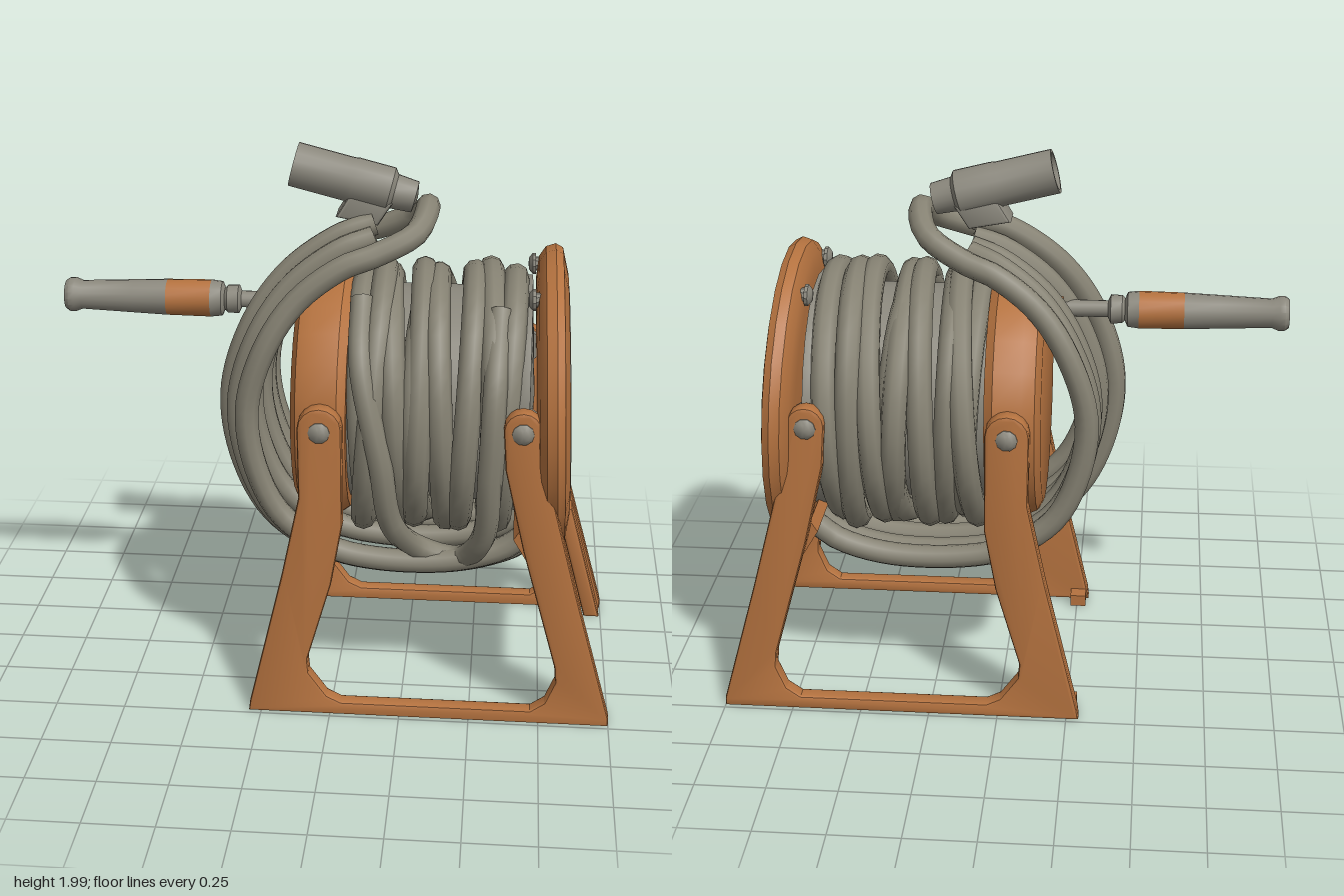
import * as THREE from 'three';
import { toCreasedNormals } from 'three/addons/utils/BufferGeometryUtils.js';

const orange = new THREE.MeshStandardMaterial({ color: 0xb4723f });
orange.name = 'burnt orange';
const grey = new THREE.MeshStandardMaterial({ color: 0x8a877c });
grey.name = 'warm grey';
const hoseGrey = new THREE.MeshStandardMaterial({ color: 0x868273 });
hoseGrey.name = 'hose grey';

const AXLE_Y = 1.08;

function part(parent, name, geometry, material, x = 0, y = 0, z = 0) {
  const mesh = new THREE.Mesh(geometry, material);
  mesh.name = name;
  mesh.position.set(x, y, z);
  parent.add(mesh);
  return mesh;
}

// Turned solid along x; points are [radius, x], ordered by rising x
function turned(points, sides = 24) {
  const g = new THREE.LatheGeometry(points.map(p => new THREE.Vector2(p[0], p[1])), sides);
  g.rotateZ(-Math.PI / 2);
  return toCreasedNormals(g, 0.6);
}

function hose(points, closed = false, radius = 0.043, steps = 64) {
  const curve = new THREE.CatmullRomCurve3(points.map(p => new THREE.Vector3(...p)), closed);
  return new THREE.TubeGeometry(curve, steps, radius, 9, closed);
}

// Outline in x,y pushed along z and centred on z = 0
function slab(points, depth, bevel = 0) {
  const shape = new THREE.Shape(points.map(p => new THREE.Vector2(p[0], p[1])));
  const g = new THREE.ExtrudeGeometry(shape, {
    depth: depth - 2 * bevel, bevelEnabled: bevel > 0, bevelSize: bevel,
    bevelThickness: bevel, bevelOffset: -bevel, bevelSegments: 2,
  });
  g.translate(0, 0, -depth / 2 + bevel);
  return toCreasedNormals(g, 0.6);
}

// Rounded arm top, running from right to left
function arc(cx, cy, r) {
  return Array.from({ length: 9 }, (_, i) => {
    const a = Math.PI * i / 8;
    return [cx + r * Math.cos(a), cy + r * Math.sin(a)];
  });
}

function boltGeometry() {
  return turned([[0, -0.03], [0.025, -0.03], [0.025, 0], [0.038, 0], [0.038, 0.012], [0.022, 0.025], [0, 0.028]], 10);
}

function buildFrame(root) {
  const frame = new THREE.Group();
  frame.name = 'frame';
  root.add(frame);
  const outline = [
    [-0.295, 0], [1.0, 0], [1.0, 0.03], [0.87, 0.5], [0.745, 0.98],
    ...arc(0.66, 1.13, 0.066),
    [0.605, 0.98], [0.675, 0.68], [0.8, 0.23], [0.805, 0.17], [0.77, 0.085], [0.72, 0.05],
    [0.04, 0.05], [-0.01, 0.075], [-0.075, 0.165], [-0.08, 0.22], [0.005, 0.52], [0.045, 0.75],
    ...arc(-0.035, 1.11, 0.077),
    [-0.108, 0.85], [-0.17, 0.55], [-0.29, 0.04],
  ];
  const side = slab(outline, 0.065, 0.012);
  const foot = slab([[0.935, 0], [0.995, 0], [0.87, 0.47], [0.81, 0.47]], 0.12, 0.012);
  const hub = new THREE.CylinderGeometry(0.065, 0.065, 0.035, 16).rotateX(Math.PI / 2);
  for (const s of [1, -1]) {
    part(frame, 'sideFrame', side, orange, 0, 0, 0.457 * s);
    part(frame, 'rightLegFlange', foot, orange, 0, 0, 0.408 * s);
    part(frame, 'footHook', new THREE.BoxGeometry(0.06, 0.045, 0.06), orange, -0.255, 0.0235, 0.395 * s);
    for (const [x, y] of [[-0.035, 1.1], [0.66, 1.12]]) {
      part(frame, 'pivotHub', hub, grey, x, y, 0.412 * s);
      const bolt = part(frame, 'pivotBolt', boltGeometry(), grey, x, y, 0.482 * s);
      bolt.rotation.y = -s * Math.PI / 2;
    }
  }
  // Sloping panel that ties the two right legs together
  const panel = [[0.775, 0.42], [0.835, 0.42], [0.795, 0.54], [0.7, 0.68], [0.665, 0.74], [0.64, 0.7], [0.735, 0.54]];
  part(frame, 'crossPanel', slab(panel, 0.87), orange);
}

function buildReel(root) {
  const reel = new THREE.Group();
  reel.name = 'reel';
  reel.position.y = AXLE_Y;
  root.add(reel);
  part(reel, 'drum', turned([[0, 0.03], [0.39, 0.03], [0.39, 0.64], [0, 0.64]]), grey);
  part(reel, 'innerFlange', turned([[0, 0.63], [0.42, 0.63], [0.43, 0.65], [0.43, 0.68], [0, 0.7]]), grey);
  part(reel, 'leftDisc', turned([[0, -0.145], [0.39, -0.145], [0.43, -0.125], [0.45, -0.08],
    [0.452, 0.02], [0.43, 0.05], [0, 0.055]]), orange);

  // Large disc, slightly tilted, with a grey inlay and bolts behind
  const disc = new THREE.Group();
  disc.name = 'rightDisc';
  disc.position.set(0.768, 0, 0);
  disc.rotation.z = 0.04;
  reel.add(disc);
  part(disc, 'discRim', turned([[0, -0.06], [0.43, -0.06], [0.5, -0.05], [0.535, -0.025], [0.545, 0.01],
    [0.53, 0.036], [0.44, 0.054], [0, 0.054]]), orange);
  part(disc, 'discInlay', turned([[0, 0.052], [0.4, 0.052], [0.398, 0.057], [0, 0.059]]), grey);
  for (const sy of [1, -1]) {
    for (const sz of [1, -1]) {
      const bolt = part(disc, 'discBolt', boltGeometry(), grey, -0.06, 0.43 * sy, 0.21 * sz);
      bolt.rotation.y = Math.PI;
    }
  }
}

function buildCoil(root) {
  const coil = new THREE.Group();
  coil.name = 'woundHose';
  root.add(coil);
  // x, height radius, sideways lean, phase for each turn
  const turns = [
    [0.125, 0.455, 0.035, 0.2], [0.2, 0.44, 0.03, 2.4], [0.285, 0.45, 0.02, 0.9], [0.37, 0.445, 0.025, 2.9],
    [0.455, 0.45, 0.025, 0.4], [0.54, 0.46, 0.02, 1.8], [0.6, 0.445, 0.02, 0], [0.11, 0.42, 0.025, 3.6], [0.33, 0.43, 0.05, 4.6],
  ];
  for (const [x, r, lean, phase] of turns) {
    const pts = [];
    for (let i = 0; i < 16; i++) {
      const a = i / 16 * Math.PI * 2;
      const wave = 0.008 * Math.sin(3 * a + phase * 2);
      pts.push([x + lean * Math.cos(a - phase), 1.068 + (r + wave) * Math.cos(a), (r - 0.03 + wave) * Math.sin(a)]);
    }
    part(coil, 'hoseTurn', hose(pts, true, 0.046, 40), hoseGrey);
  }
  // Slack turn that crosses the front of the coil
  part(coil, 'slackTurn', hose([[0.09, 1.49, 0.2], [0.1, 1.3, 0.38], [0.17, 0.98, 0.44], [0.21, 0.72, 0.38],
    [0.3, 0.58, 0.27], [0.44, 0.54, 0.26], [0.53, 0.66, 0.36], [0.55, 0.95, 0.44], [0.56, 1.25, 0.42], [0.57, 1.47, 0.23]]), hoseGrey);
}

// Half loop over the left disc, down its face and under the drum, drawn inwards by inset
function halfLoop(zTop, z, inset) {
  const path = [[0.12, 1.72], [0.0, 1.68], [-0.18, 1.55], [-0.31, 1.36], [-0.385, 1.1], [-0.35, 0.84],
    [-0.24, 0.63], [-0.05, 0.5], [0.15, 0.455], [0.45, 0.465], [0.65, 0.53], [0.74, 0.6]];
  return path.map(([x, y], i) => {
    const dx = 0.17 - x, dy = AXLE_Y - y, k = inset / Math.hypot(dx, dy);
    return [Math.min(x + dx * k, 0.72), y + dy * k, THREE.MathUtils.lerp(zTop, z, Math.min(i / 3, 1))];
  });
}

function buildLooseHose(root) {
  const loose = new THREE.Group();
  loose.name = 'looseHose';
  root.add(loose);
  // One hose bends round the nozzle tail and loops down on both sides
  const sideLoop = (s, inset) => [[0.27, 1.71, 0.13 * s], ...halfLoop(0.2 * s, 0.275 * s, inset)];
  part(loose, 'outerLoop', hose([...sideLoop(1, 0.075).reverse(), [0.305, 1.77, 0], ...sideLoop(-1, 0.085)],
    false, 0.043, 110), hoseGrey);
  // Remaining loops, each [z at the top, z below, inset]
  for (const [zTop, z, inset] of [[0.05, 0.12, 0], [0.11, 0.195, 0.035], [0.01, 0.03, 0.06], [-0.04, -0.085, 0.08], [-0.1, -0.2, 0.08]]) {
    part(loose, 'innerLoop', hose(halfLoop(zTop, z, inset)), hoseGrey);
  }

  // Nozzle with an open mouth
  const nozzle = new THREE.Group();
  nozzle.name = 'nozzle';
  nozzle.position.set(0.045, 1.858, 0);
  nozzle.rotation.z = -0.25;
  loose.add(nozzle);
  part(nozzle, 'nozzleBarrel', turned([[0, -0.08], [0.066, -0.08], [0.066, -0.22], [0.079, -0.22], [0.079, -0.02],
    [0.082, 0], [0.082, 0.13], [0.062, 0.145], [0.056, 0.22], [0, 0.23]], 16), grey);
  part(nozzle, 'nozzleNeck', slab([[-0.03, -0.13], [0.12, -0.12], [0.15, -0.03], [0, -0.03]], 0.13, 0.012), grey);
}

function buildCrank(root) {
  const crank = new THREE.Group();
  crank.name = 'crankHandle';
  crank.position.set(0, 1.41, 0);
  root.add(crank);
  part(crank, 'gripEnd', turned([[0, -1], [0.052, -1], [0.062, -0.985], [0.062, -0.965], [0.052, -0.94],
    [0.06, -0.75], [0.065, -0.63], [0, -0.63]], 16), grey);
  part(crank, 'gripBand', turned([[0, -0.63], [0.065, -0.63], [0.067, -0.47], [0, -0.47]], 16), orange);
  part(crank, 'gripCollar', turned([[0, -0.47], [0.067, -0.47], [0.062, -0.43], [0.04, -0.42], [0.05, -0.41],
    [0.052, -0.37], [0.03, -0.36], [0.03, -0.1], [0, -0.1]], 16), grey);
  part(crank, 'crankBoss', turned([[0, -0.2], [0.05, -0.2], [0.06, -0.13], [0, -0.13]], 12), orange);
}

export function createModel() {
  const root = new THREE.Group();
  root.name = 'hoseReel';
  buildFrame(root);
  buildReel(root);
  buildCoil(root);
  buildLooseHose(root);
  buildCrank(root);
  return root;
}
